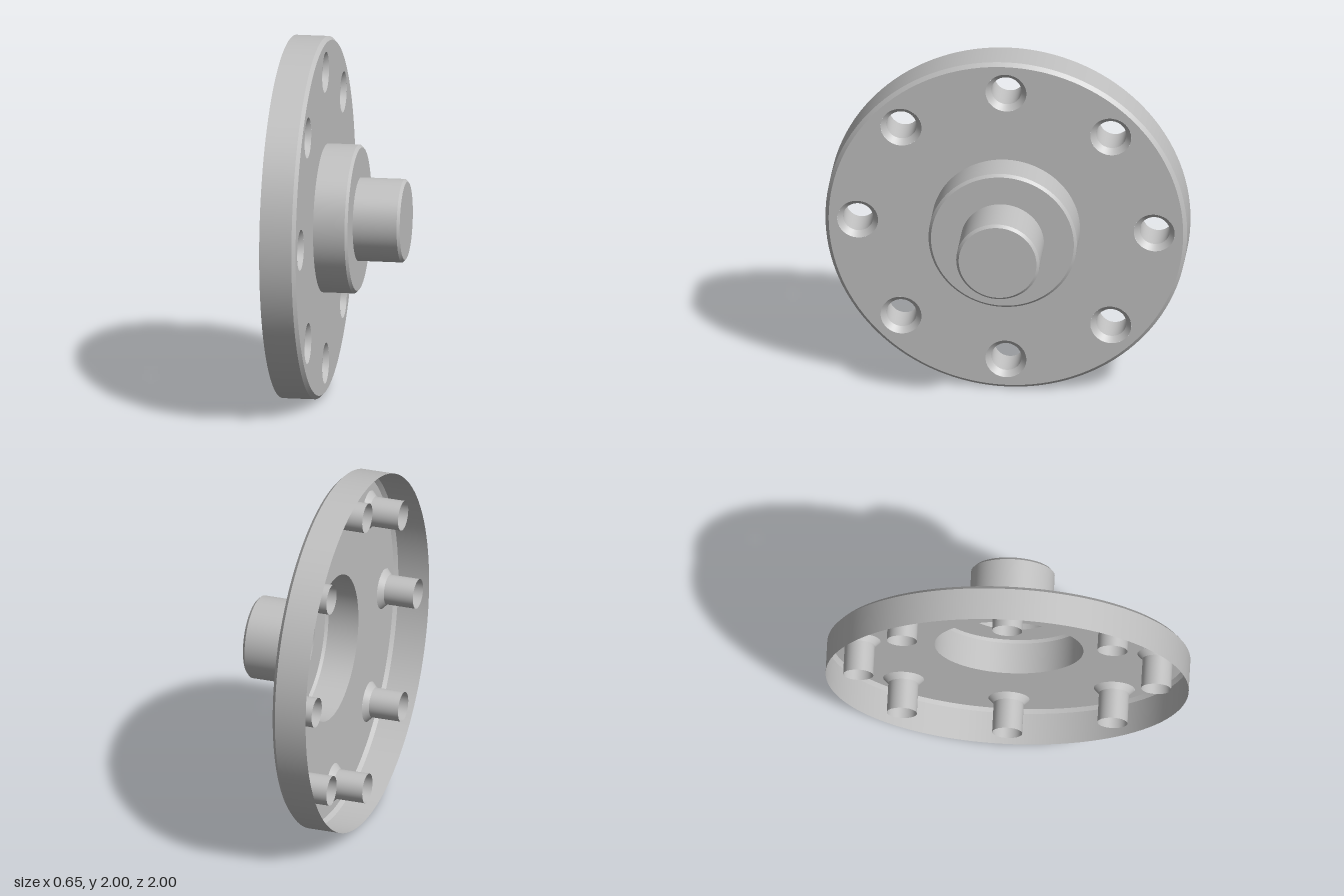
import * as THREE from 'three';

const SEGMENTS = 128;
const BACK = -0.325, FACE = -0.125, STEP = 0.065, TIP = 0.325;

export function createModel() {
  const group = new THREE.Group();
  group.name = 'flange';
  const steel = new THREE.MeshStandardMaterial({ color: 0xc0c0c0, side: THREE.DoubleSide });
  steel.name = 'steel grey';

  // Turn a [radius, x] profile about the x axis, one lathe per segment for crisp edges
  function turned(name, profile, segments = SEGMENTS) {
    const part = new THREE.Group();
    part.name = name;
    for (let i = 0; i < profile.length - 1; i++) {
      const points = [profile[i], profile[i + 1]].map(([r, x]) => new THREE.Vector2(r, x));
      const geometry = new THREE.LatheGeometry(points, segments).rotateZ(-Math.PI / 2);
      const mesh = new THREE.Mesh(geometry, steel);
      mesh.name = name + 'Surface';
      part.add(mesh);
    }
    group.add(part);
    return part;
  }

  // Open-backed rim, stepped hub and hollow shaft, each with a chamfered edge
  turned('rim', [[1, BACK], [1, FACE - 0.02], [0.98, FACE]]);
  turned('hub', [[0.41, FACE], [0.41, STEP - 0.015], [0.395, STEP], [0.23, STEP]]);
  turned('shaft', [[0.23, STEP], [0.23, TIP - 0.015], [0.215, TIP], [0, TIP]]);

  // Flange face, pierced for the hub and the ring of bolt holes
  const face = new THREE.Shape().absarc(0, 0, 0.98, 0, Math.PI * 2);
  const pierce = (x, y, r) =>
    face.holes.push(new THREE.Path().absarc(x, y, r, 0, Math.PI * 2, true));
  pierce(0, 0, 0.41);

  // Countersunk bolt sleeves
  for (let i = 0; i < 8; i++) {
    const angle = (i * Math.PI) / 4;
    const u = 0.82 * Math.cos(angle), v = 0.82 * Math.sin(angle);
    pierce(u, v, 0.113);
    const sleeve = turned('boltHole', [[0.113, FACE], [0.083, FACE - 0.03], [0.083, BACK]], 48);
    sleeve.position.set(0, v, -u);
  }

  const faceMesh = new THREE.Mesh(new THREE.ShapeGeometry(face, 64).rotateY(Math.PI / 2), steel);
  faceMesh.name = 'flangeFace';
  faceMesh.position.x = FACE;
  group.add(faceMesh);

  group.position.y = 1;
  const model = new THREE.Group();
  model.name = 'flangedHub';
  model.add(group);
  return model;
}
